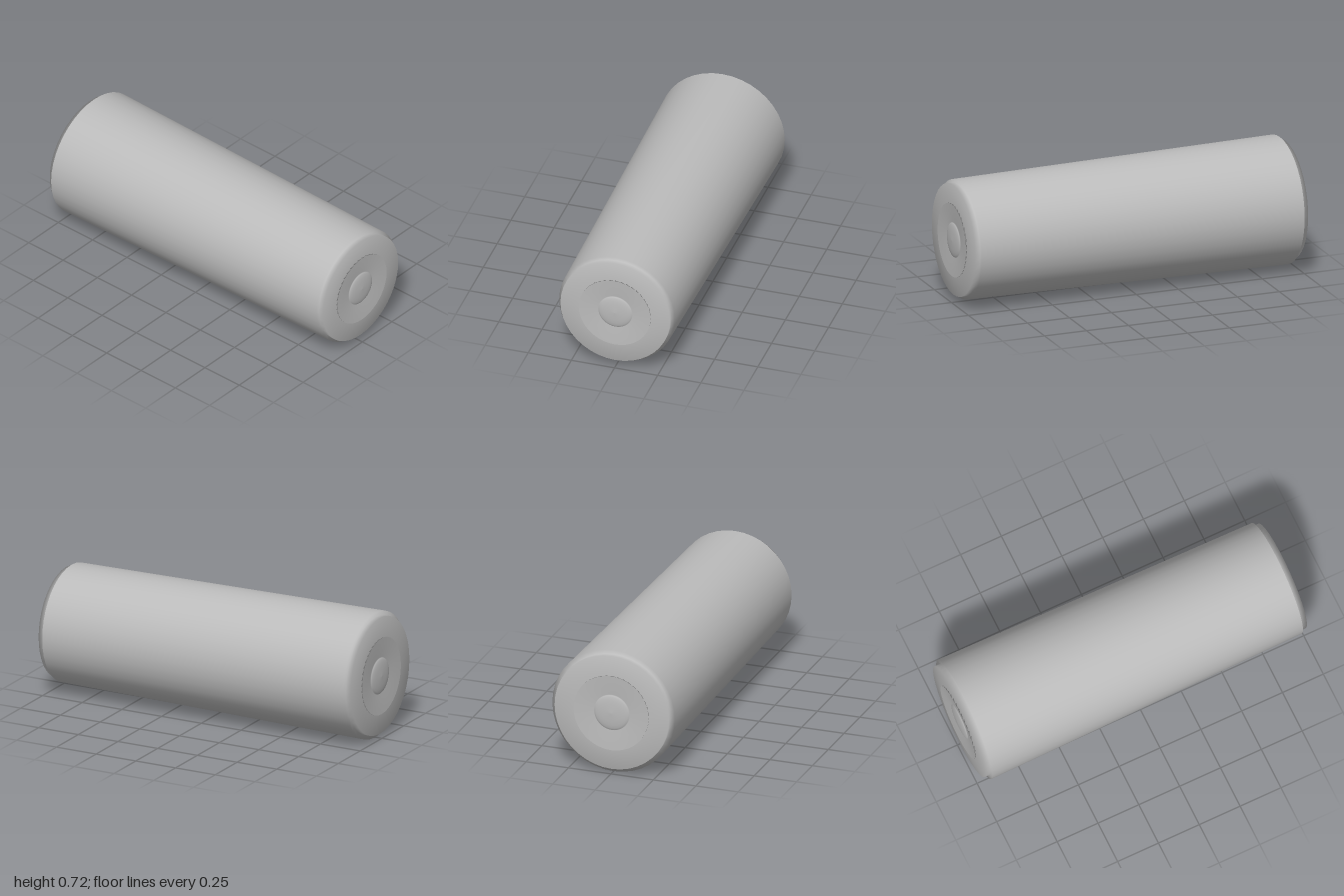
import * as THREE from 'three';

export function createModel() {
  const model = new THREE.Group();
  model.name = 'taperedDrum';
  const grey = new THREE.MeshStandardMaterial({ color: 0xbbbbbb });
  grey.name = 'plain grey';

  // Half profile of an end, from the axis outward: [radius, position along axis]
  const endProfile = (s) => {
    const dome = [];
    for (let i = 0; i <= 6; i++) {
      const a = (i / 6) * Math.PI / 2;
      dome.push([0.1 * s * Math.sin(a), 0.984 + 0.015 * Math.cos(a)]);
    }
    return [...dome, [0.208 * s, 0.998], [0.208 * s, 0.99], [0.317 * s, 0.988], [0.317 * s, 0.957], [0.335 * s, 0.955]];
  };

  // Tapered body with stepped, domed ends, turned about its axis
  const wide = endProfile(1.06).map(([r, t]) => new THREE.Vector2(r, -t));
  wide[wide.length - 1].set(0.361, -0.957);
  const narrow = endProfile(1).map(([r, t]) => new THREE.Vector2(r, t)).reverse();
  wide[0].set(0, -1);
  narrow[narrow.length - 1].set(0, 1);

  const geometry = new THREE.LatheGeometry([...wide, ...narrow], 40);
  geometry.rotateZ(-Math.PI / 2);
  geometry.translate(0, 0.362, 0);
  const drum = new THREE.Mesh(geometry, grey);
  drum.name = 'drumBody';
  model.add(drum);
  return model;
}
